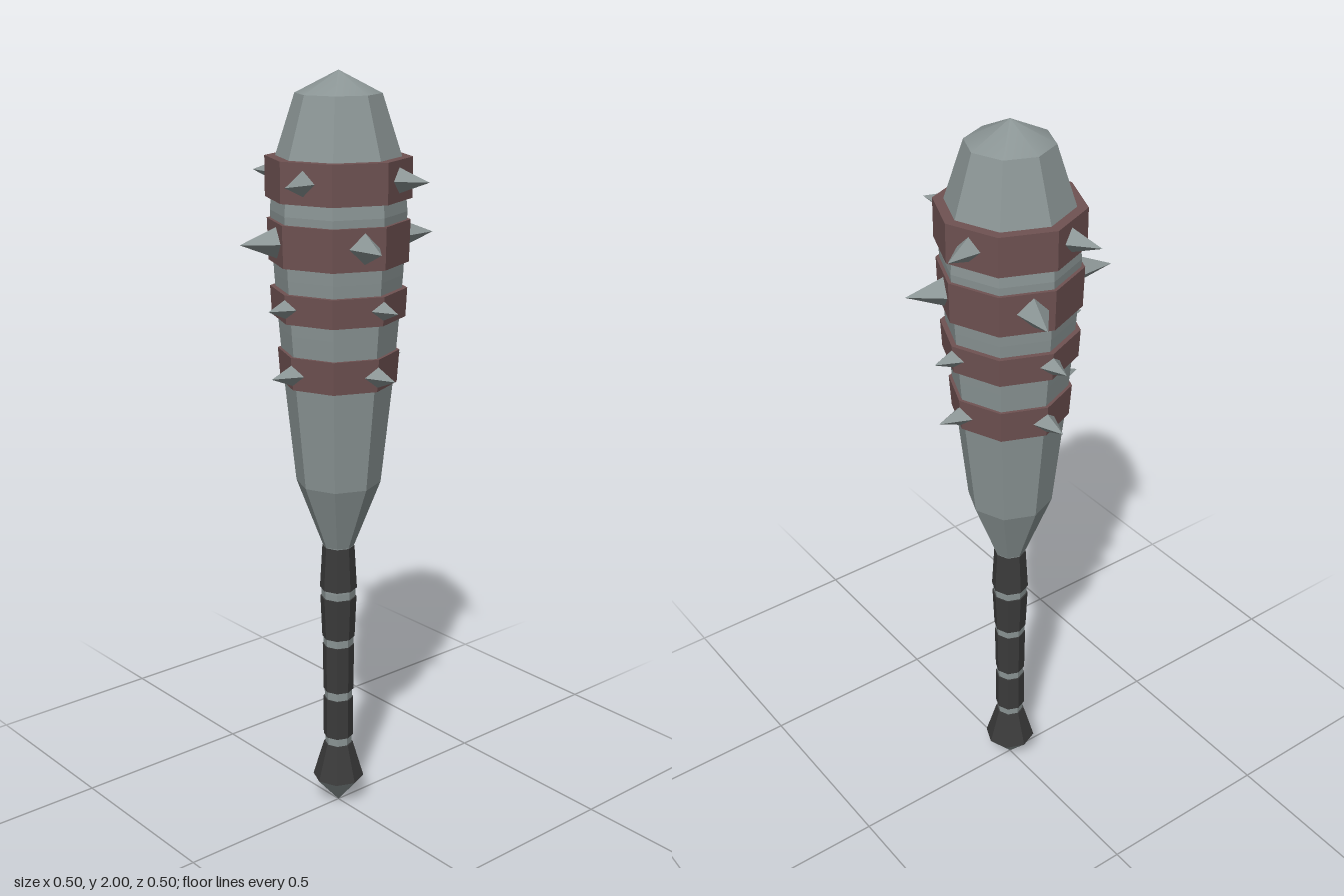
import * as THREE from 'three';

const metal = new THREE.MeshStandardMaterial({ color: 0x8b9595 });
metal.name = 'grey metal';
const leather = new THREE.MeshStandardMaterial({ color: 0x6f5252 });
leather.name = 'red brown leather';
const grip = new THREE.MeshStandardMaterial({ color: 0x3b3b3b });
grip.name = 'dark grip';

const SIDES = 8;

// Split the faces so that each one is shaded flat
function flat(geometry) {
  const g = geometry.toNonIndexed();
  g.computeVertexNormals();
  return g;
}

// Eight-sided turned solid from [radius, height] pairs, listed bottom to top
function turned(profile, smooth = false) {
  const g = new THREE.LatheGeometry(profile.map(([r, y]) => new THREE.Vector2(r, y)), SIDES);
  return smooth ? g : flat(g);
}

export function createModel() {
  const model = new THREE.Group();
  model.name = 'spikedClub';
  const add = (name, geometry, material, parent = model) => {
    const mesh = new THREE.Mesh(geometry, material);
    mesh.name = name;
    parent.add(mesh);
    return mesh;
  };

  // Club head, with a softly shaded cap
  add('head', turned([
    [0, 0.76], [0.042, 0.77], [0.111, 0.95], [0.14, 1.22], [0.152, 1.36],
    [0.163, 1.5], [0.172, 1.66], [0.16, 1.785], [0.108, 1.945],
  ]), metal);
  add('headCap', turned([[0.108, 1.945], [0, 2]], true), metal);

  // Handle core seen between the wraps, and the pommel point
  add('handleCore', turned([
    [0.036, 0.15], [0.038, 0.35], [0.041, 0.5], [0.046, 0.64], [0.041, 0.78],
  ]), metal);
  add('pommelTip', turned([[0, 0], [0.07, 0.08]]), metal);
  add('pommelFlare', turned([[0.07, 0.08], [0.04, 0.183], [0, 0.183]]), grip);

  // Grip wraps: bottom height, bottom radius, top height, top radius
  const wraps = [
    [0.207, 0.041, 0.322, 0.041],
    [0.346, 0.041, 0.481, 0.043],
    [0.504, 0.044, 0.622, 0.049],
    [0.647, 0.05, 0.768, 0.043],
  ];
  wraps.forEach(([y0, r0, y1, r1], i) => {
    add(`gripWrap${i + 1}`, turned([[0, y0], [r0, y0], [r1, y1], [0, y1]]), grip);
  });

  // Leather bands, each with four spikes spaced a quarter turn apart
  const bands = [
    { y0: 1.222, y1: 1.307, r0: 0.15, r1: 0.156, spikeY: 1.261, tip: 0.217, base: 0.135, size: 0.034, turn: 0 },
    { y0: 1.394, y1: 1.468, r0: 0.17, r1: 0.174, spikeY: 1.433, tip: 0.225, base: 0.15, size: 0.034, turn: 0 },
    { y0: 1.534, y1: 1.64, r0: 0.177, r1: 0.18, spikeY: 1.59, tip: 0.262, base: 0.155, size: 0.043, turn: -17.4 },
    { y0: 1.693, y1: 1.794, r0: 0.184, r1: 0.184, spikeY: 1.745, tip: 0.252, base: 0.155, size: 0.037, turn: 19.8 },
  ];
  bands.forEach((b, i) => {
    const group = new THREE.Group();
    group.name = `spikedBand${i + 1}`;
    model.add(group);
    add('band', turned([[0, b.y0], [b.r0, b.y0], [b.r1, b.y1], [0, b.y1]]), leather, group);

    // Four-sided pyramid pointing out along +z
    const length = b.tip - b.base;
    const spike = flat(new THREE.ConeGeometry(b.size, length, 4)
      .rotateX(Math.PI / 2)
      .translate(0, 0, b.base + length / 2));
    for (let k = 0; k < 4; k++) {
      const mesh = add(`spike${k + 1}`, spike, metal, group);
      mesh.position.y = b.spikeY;
      mesh.rotation.y = THREE.MathUtils.degToRad(b.turn + k * 90);
    }
  });

  return model;
}
